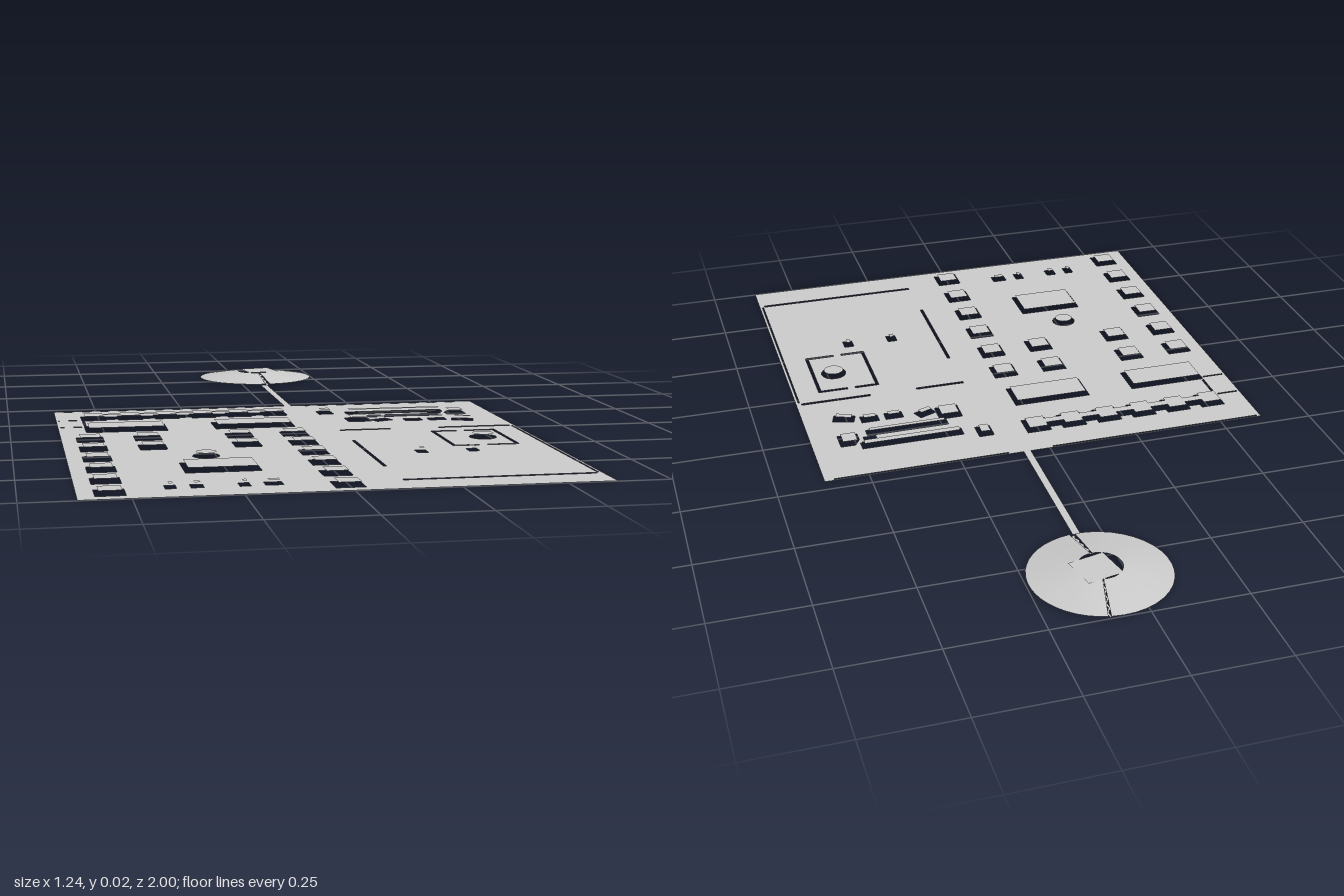
import * as THREE from 'three';

const GAP = 0.008;      // width of the cut around each floor tile
const LIFT = 0.012;     // height of the raised tiles
const GROUND = 0.001;

const grey = () => new THREE.MeshStandardMaterial({ color: 0xcccccc, side: THREE.DoubleSide, flatShading: true });

// Points are plan coordinates [x, z]; the shape plane is laid flat afterwards.
const toPath = (pts, Type = THREE.Shape) => new Type(pts.map(([x, z]) => new THREE.Vector2(x, -z)));

function flat(name, shape, y) {
  const mesh = new THREE.Mesh(new THREE.ShapeGeometry(shape).rotateX(-Math.PI / 2), grey());
  mesh.position.y = y;
  mesh.name = name;
  return mesh;
}

function rect(cx, cz, hx, hz, angle = 0) {
  const c = Math.cos(angle), s = Math.sin(angle);
  return [[-hx, -hz], [hx, -hz], [hx, hz], [-hx, hz]].map(([x, z]) => [cx + x * c - z * s, cz + x * s + z * c]);
}

function circle(cx, cz, r, n = 16) {
  return Array.from({ length: n }, (_, i) => {
    const a = (i / n) * Math.PI * 2;
    return [cx + r * Math.cos(a), cz + r * Math.sin(a)];
  });
}

// Row of rooms joined by narrow passages, as one outline inset by d
function roomChain(d) {
  const upper = [], lower = [], xs = [-0.515, -0.412, -0.309, -0.206, -0.103, 0];
  xs.forEach((x, i) => {
    const l = x - 0.034 + d, r = x + 0.034 - d;
    const first = i === 0, last = i === xs.length - 1;
    if (!first) { upper.push([l, -0.1 + d]); lower.push([l, -0.06 - d]); }
    upper.push([l, -0.117 + d], [r, -0.117 + d]);
    lower.push([l, -0.045 - d], [r, -0.045 - d]);
    if (!last) { upper.push([r, -0.1 + d]); lower.push([r, -0.06 - d]); }
  });
  return [...upper, ...lower.reverse()];
}

export function createModel() {
  const group = new THREE.Group();
  const ground = toPath([[-0.62, -0.212], [0.62, -0.212], [0.62, 1], [-0.62, 1]]);
  const cut = (pts) => ground.holes.push(toPath(pts, THREE.Path));

  // Tile floating over a slightly larger opening in the ground
  const tile = (name, outer, inner) => {
    cut(outer);
    group.add(flat(name, toPath(inner), LIFT));
  };
  const rectTile = (name, x, z, hx, hz, a = 0) =>
    tile(name, rect(x, z, hx, hz, a), rect(x, z, hx - GAP, hz - GAP, a));
  const roundTile = (name, x, z, r) => tile(name, circle(x, z, r), circle(x, z, r - GAP));

  // Grid of small square rooms
  [0.256, 0.39, 0.526, 0.662, 0.797, 0.932].forEach((z, row) => {
    const columns = row < 2 ? [-0.545, -0.394, -0.15, -0.002] : [-0.545, -0.002];
    columns.forEach((x) => rectTile('squareRoom', x, z, 0.035, 0.035));
  });

  // Large halls
  rectTile('hall', -0.26, 0.677, 0.092, 0.062);
  rectTile('hall', -0.438, 0.095, 0.11, 0.051);
  rectTile('hall', -0.088, 0.095, 0.11, 0.051);

  // Round platforms
  roundTile('roundPlatform', -0.275, 0.53, 0.034);
  roundTile('roundPlatform', 0.481, 0.388, 0.036);

  // Connected rooms along the back
  tile('roomChain', roomChain(0), roomChain(GAP));

  // Back right cluster: [x, z, halfX, halfZ, angle]
  [
    [0.147, -0.072, 0.021, 0.027], [0.347, -0.054, 0.142, 0.018], [0.347, 0.01, 0.115, 0.015],
    [0.516, -0.016, 0.028, 0.03], [0.216, 0.061, 0.033, 0.033], [0.28, 0.077, 0.026, 0.017, -0.4],
    [0.368, 0.087, 0.025, 0.017], [0.437, 0.087, 0.025, 0.017], [0.506, 0.107, 0.03, 0.018, 0.3],
  ].forEach((b) => rectTile('backRoom', ...b));
  cut(rect(0.458, -0.022, 0.018, 0.012));

  // Small huts
  [
    [0.268, 0.563, 0.014, 0.018], [0.402, 0.563, 0.014, 0.018], [-0.405, 0.893, 0.013, 0.019],
    [-0.344, 0.893, 0.015, 0.018], [-0.235, 0.893, 0.013, 0.019], [-0.167, 0.893, 0.021, 0.017],
  ].forEach((b) => rectTile('smallHut', ...b));

  // Walled court with a doorway front and back: two C-shaped cuts
  const [z0, z1, w] = [0.28, 0.503, GAP];
  [[0.368, 0.438, 1], [0.545, 0.46, -1]].forEach(([x, door, s]) =>
    cut([[door, z0], [x, z0], [x, z1], [door, z1], [door, z1 - w],
      [x + s * w, z1 - w], [x + s * w, z0 + w], [door, z0 + w]]));

  // Straight wall lines cut into the ground
  [
    [0.2, 0.224, 0.07, 0.004], [0.505, 0.224, 0.1, 0.004], [0.132, 0.56, 0.004, 0.175],
    [0.37, 0.902, 0.235, 0.004], [0.611, 0.565, 0.002, 0.33],
    [-0.31, -0.206, 0.3, 0.002], [0.355, -0.206, 0.24, 0.002],
    [-0.545, 0, 0.003, 0.037], [-0.583, -0.055, 0.03, 0.002], [-0.583, 0.055, 0.03, 0.002],
  ].forEach((b) => cut(rect(...b)));

  group.add(flat('ground', ground, GROUND));

  // Road from the ground to the hill
  group.add(flat('road', toPath(rect(0.065, -0.425, 0.01, 0.215)), GROUND));

  // Low hill in two halves, split by the footpath
  const profile = [[0.18, 0.004], [0.115, 0.015], [0.056, 0.024]].map((p) => new THREE.Vector2(...p));
  const front = 0.07, back = Math.PI - 0.2, slit = 0.04;
  [[front + slit, back - slit / 2], [back + slit / 2, Math.PI * 2 + front - slit]].forEach(([a, b]) => {
    const half = new THREE.Mesh(new THREE.LatheGeometry(profile, 20, a, b - a), grey());
    half.position.set(0.065, 0, -0.82);
    half.name = 'hill';
    group.add(half);
  });

  // Winding footpath pieces climbing the hill
  [[front, 1], [back, 0.6]].forEach(([angle, width]) => {
    const pos = [], index = [], n = 8;
    for (let i = 0; i <= n; i++) {
      const t = i / n, r = 0.178 - 0.12 * t;
      const side = 0.003 * (i % 2 ? 1 : -1), h = 0.004 * width;
      const x = 0.065 + r * Math.sin(angle) + side, z = -0.82 + r * Math.cos(angle);
      pos.push(x - h, 0.02 * t, z, x + h, 0.02 * t, z);
      if (i < n) index.push(2 * i, 2 * i + 1, 2 * i + 2, 2 * i + 1, 2 * i + 3, 2 * i + 2);
    }
    const geo = new THREE.BufferGeometry();
    geo.setAttribute('position', new THREE.Float32BufferAttribute(pos, 3));
    geo.setIndex(index);
    geo.computeVertexNormals();
    const path = new THREE.Mesh(geo, grey());
    path.name = 'footpath';
    group.add(path);
  });

  // Turned square floor on the hilltop
  group.add(flat('hilltopFloor', toPath(rect(0.078, -0.826, 0.049, 0.049, -0.22)), 0.024));

  return group;
}
